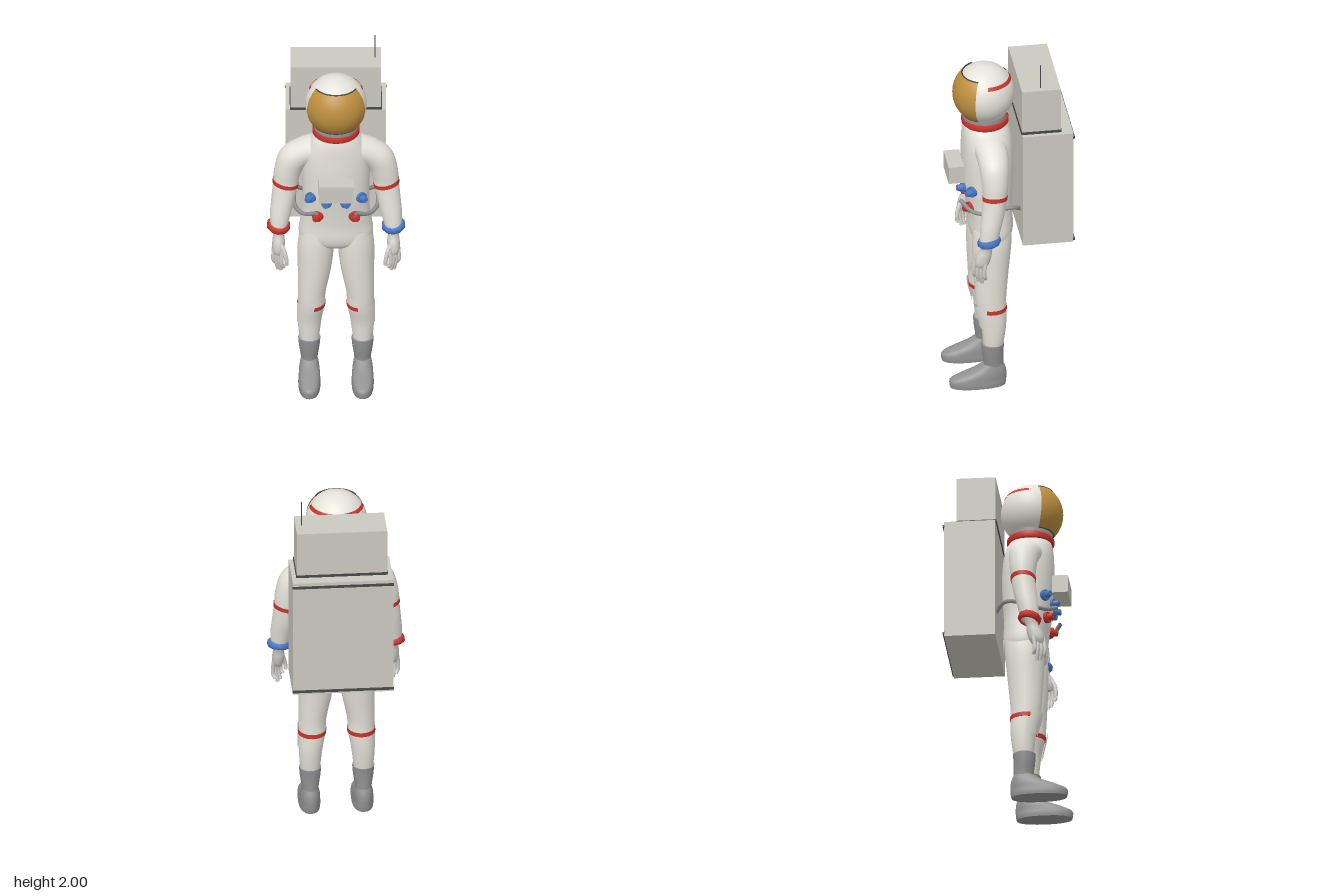
import * as THREE from 'three';

const mat = (name, color) => {
  const m = new THREE.MeshStandardMaterial({ color, side: THREE.DoubleSide });
  m.name = name;
  return m;
};

// Smooth value between cross-sections; each is [x, y, z, rx, rz, tiltDegrees]
function section(list, u) {
  const i = Math.min(Math.floor(u), list.length - 2), t = u - i;
  const at = k => list[Math.max(0, Math.min(list.length - 1, k))];
  return list[i].map((p1, k) => {
    const p0 = at(i - 1)[k], p2 = at(i + 1)[k], p3 = at(i + 2)[k];
    const v0 = (p2 - p0) / 2, v1 = (p3 - p1) / 2;
    return (2 * p1 - 2 * p2 + v0 + v1) * t ** 3 + (-3 * p1 + 3 * p2 - 2 * v0 - v1) * t * t + v0 * t + p1;
  });
}

// Skin over cross-sections listed from top to bottom; side = -1 mirrors it
function loft(list, { side = 1, from = 0, to = list.length - 1, grow = 0, n = 28, power = 1, arc = null, steps = 4 } = {}) {
  const pos = [], idx = [];
  const rows = Math.max(2, Math.ceil((to - from) * steps));
  const cols = arc ? n + 1 : n;
  const [a0, a1] = arc || [0, Math.PI * 2];
  const bend = v => Math.sign(v) * Math.abs(v) ** power;
  for (let r = 0; r <= rows; r++) {
    const [x, y, z, rx, rz, tilt = 0] = section(list, from + (to - from) * r / rows);
    const t = tilt * side * Math.PI / 180;
    for (let j = 0; j < cols; j++) {
      const a = a0 + (a1 - a0) * j / n;
      const px = (rx + grow) * bend(Math.cos(a)), pz = (rz + grow) * bend(Math.sin(a));
      pos.push(side * x + px * Math.cos(t), y + px * Math.sin(t), z + pz);
    }
  }
  for (let r = 0; r < rows; r++) for (let j = 0; j < n; j++) {
    const k = arc ? j + 1 : (j + 1) % n;
    const a = r * cols + j, b = r * cols + k, c = a + cols, d = b + cols;
    idx.push(a, b, c, b, d, c);
  }
  // flat end caps
  if (!arc) for (const r of [0, rows]) {
    const base = pos.length / 3, c = [0, 0, 0];
    for (let j = 0; j < n; j++) for (let k = 0; k < 3; k++) {
      const v = pos[(r * cols + j) * 3 + k];
      pos.push(v);
      c[k] += v / n;
    }
    pos.push(...c);
    for (let j = 0; j < n; j++) {
      const p = base + j, q = base + (j + 1) % n;
      idx.push(base + n, r ? p : q, r ? q : p);
    }
  }
  const g = new THREE.BufferGeometry();
  g.setAttribute('position', new THREE.Float32BufferAttribute(pos, 3));
  g.setIndex(idx);
  g.computeVertexNormals();
  return g;
}

const torso = [
  [0, 1.61, 0.115, 0.10, 0.10], [0, 1.565, 0.115, 0.11, 0.112], [0, 1.52, 0.11, 0.14, 0.127],
  [0, 1.45, 0.105, 0.172, 0.136], [0, 1.35, 0.103, 0.182, 0.14], [0, 1.2, 0.102, 0.18, 0.136],
  [0, 1.1, 0.098, 0.18, 0.125], [0, 1.0, 0.09, 0.192, 0.12], [0, 0.93, 0.088, 0.2, 0.12],
  [0, 0.88, 0.09, 0.185, 0.105], [0, 0.85, 0.095, 0.12, 0.07]];
const arm = [
  [0.06, 1.47, 0.112, 0.08, 0.095, 65], [0.17, 1.43, 0.1, 0.078, 0.085, 55], [0.235, 1.38, 0.1, 0.08, 0.078, 38],
  [0.262, 1.3, 0.1, 0.073, 0.071, 20], [0.27, 1.235, 0.102, 0.068, 0.065, 12], [0.285, 1.14, 0.115, 0.062, 0.062, 8],
  [0.298, 1.06, 0.13, 0.056, 0.056, 5], [0.308, 0.98, 0.142, 0.045, 0.05, 4]];
const leg = [
  [0.1, 0.95, 0.09, 0.09, 0.105], [0.107, 0.85, 0.095, 0.098, 0.106], [0.115, 0.7, 0.1, 0.09, 0.096],
  [0.13, 0.55, 0.103, 0.075, 0.084], [0.132, 0.47, 0.1, 0.073, 0.08], [0.14, 0.38, 0.09, 0.065, 0.069],
  [0.143, 0.3, 0.09, 0.058, 0.06], [0.143, 0.2, 0.093, 0.046, 0.048]];
const shaft = [
  [0.143, 0.255, 0.095, 0.06, 0.062], [0.143, 0.2, 0.095, 0.055, 0.058],
  [0.143, 0.13, 0.09, 0.045, 0.054], [0.143, 0.08, 0.09, 0.045, 0.056]];
const foot = [
  [0.143, 0.13, 0.092, 0.042, 0.055], [0.143, 0.1, 0.11, 0.05, 0.085], [0.143, 0.07, 0.145, 0.056, 0.125],
  [0.143, 0.045, 0.172, 0.058, 0.152], [0.143, 0.02, 0.176, 0.06, 0.154], [0.143, 0, 0.176, 0.058, 0.15]];
const hand = [
  [0.308, 0.985, 0.145, 0.036, 0.04, 0], [0.308, 0.94, 0.155, 0.03, 0.034, 0],
  [0.308, 0.9, 0.168, 0.034, 0.042, 0], [0.31, 0.86, 0.178, 0.032, 0.04, 0], [0.31, 0.835, 0.182, 0.022, 0.03, 0]];

export function createModel() {
  const suit = mat('suit white', 0xe4e2d9), pack = mat('pack grey', 0xcbc9c0), glove = mat('glove grey', 0xcfcec8);
  const grey = mat('boot grey', 0x929292), dark = mat('dark trim', 0x45494a), gold = mat('visor gold', 0xbd8f3f);
  const red = mat('red', 0xcb352c), blue = mat('blue', 0x4a7ac6);
  const model = new THREE.Group();
  const add = (name, geo, material, x = 0, y = 0, z = 0) => {
    const m = new THREE.Mesh(geo, material);
    m.name = name;
    m.position.set(x, y, z);
    model.add(m);
    return m;
  };
  const box = (name, material, w, h, d, x, y, z) => add(name, new THREE.BoxGeometry(w, h, d), material, x, y, z);
  const tube = (name, material, pts, r, sides = 8) => add(name, new THREE.TubeGeometry(
    new THREE.CatmullRomCurve3(pts.map(p => new THREE.Vector3(...p))), 16, r, sides), material);

  add('torso', loft(torso, { n: 40, power: 0.9 }), suit);

  // Helmet with visor, trim and rear stripe
  const H = [0, 1.74, 0.12];
  add('helmet', new THREE.SphereGeometry(0.165, 48, 32), suit, ...H);
  const t0 = Math.acos(0.12 / 0.17), half = 1.15;
  add('visor', new THREE.SphereGeometry(0.17, 40, 24, Math.PI / 2 - half, half * 2, t0, Math.PI - 2 * t0), gold, ...H);
  for (const s of [1, -1]) {
    const trim = add('visorTrim', new THREE.TorusGeometry(0.118, 0.004, 6, 32, half * 2), dark, 0, H[1] + s * 0.121, H[2]);
    trim.geometry.rotateZ(Math.PI / 2 - half).rotateX(Math.PI / 2);
  }
  const b0 = Math.acos(0.1 / 0.167), b1 = Math.acos(0.082 / 0.167);
  add('helmetStripe', new THREE.SphereGeometry(0.1675, 40, 2, Math.PI, Math.PI, b0, b1 - b0), red, ...H);
  add('neckCollar', new THREE.CylinderGeometry(0.117, 0.119, 0.03, 40), grey, 0, 1.603, 0.118);
  const ring = [[0.1, -0.02], [0.12, -0.02], [0.127, -0.012], [0.127, 0.012], [0.12, 0.02], [0.1, 0.02]];
  add('neckRing', new THREE.LatheGeometry(ring.map(p => new THREE.Vector2(...p)), 40), red, 0, 1.575, 0.115);

  // Life support pack
  box('backpack', pack, 0.54, 0.675, 0.275, 0, 1.2575, -0.1875);
  box('upperPack', pack, 0.486, 0.25, 0.21, 0, 1.735, -0.155);
  box('upperPackSeal', dark, 0.494, 0.014, 0.218, 0, 1.603, -0.155);
  for (const y of [1.57, 0.938]) box('packStrip', dark, 0.545, 0.013, 0.01, 0, y, -0.327);
  add('antenna', new THREE.CylinderGeometry(0.003, 0.003, 0.14, 8), dark, 0.21, 1.93, -0.155);

  box('chestBox', pack, 0.186, 0.1, 0.085, 0, 1.285, 0.2825);

  for (const s of [1, -1]) {
    // Arm, bands and hand
    add('arm', loft(arm, { side: s }), suit);
    add('armBand', loft(arm, { side: s, from: 3.87, to: 4.14, grow: 0.003 }), red);
    const cuff = [[0.045, -0.018], [0.055, -0.021], [0.064, -0.01], [0.064, 0.01], [0.055, 0.021], [0.045, 0.018]];
    const w = add('wristRing', new THREE.LatheGeometry(cuff.map(p => new THREE.Vector2(...p)), 10),
      s > 0 ? blue : red, s * 0.308, 0.985, 0.14);
    w.rotation.set(0.2, 0, s * 0.12);
    add('hand', loft(hand, { side: s, n: 16 }), glove);
    for (let i = 0; i < 4; i++) {
      const x = 0.288 + i * 0.015, z = 0.212 - i * 0.017, low = [0.765, 0.74, 0.735, 0.765][i];
      tube('finger', glove, [[s * x, 0.87, z], [s * (x + 0.004), 0.82, z + 0.008],
        [s * (x + 0.003), 0.785, z + 0.008], [s * (x - 0.008), low, z]], 0.0105);
    }
    tube('thumb', glove, [[s * 0.3, 0.905, 0.19], [s * 0.277, 0.86, 0.215], [s * 0.266, 0.81, 0.225], [s * 0.265, 0.785, 0.223]], 0.011);

    // Leg, band, knee pad and boot
    add('leg', loft(leg, { side: s }), suit);
    add('legBand', loft(leg, { side: s, from: 3.84, to: 4.12, grow: 0.003 }), red);
    const arc = s > 0 ? [0.4, 1.75] : [Math.PI - 1.75, Math.PI - 0.4];
    add('kneePad', loft(leg, { side: s, from: 3.6, to: 5.2, grow: 0.01, n: 12, arc }), suit);
    add('bootShaft', loft(shaft, { side: s, n: 14 }), grey);
    add('boot', loft(foot, { side: s, n: 28, power: 0.85 }), grey);

    // Hose couplings and hoses
    const couplings = [['blue', blue, 0.135, 1.2, 0.205, 0.6], ['blue', blue, 0.05, 1.185, 0.235, 0.2], ['red', red, 0.098, 1.085, 0.212, 0.4]];
    for (const [name, material, x, y, z, turn] of couplings) {
      const base = new THREE.CylinderGeometry(0.03, 0.03, 0.024, 12).rotateX(Math.PI / 2);
      add(name + 'Coupling', base, material, s * x, y, z).rotation.y = s * turn;
      const knob = new THREE.CylinderGeometry(0.016, 0.022, 0.04, 10).rotateX(Math.PI / 2);
      const k = add(name + 'Knob', knob, material, s * (x + 0.02 * Math.sin(turn)), y, z + 0.02 * Math.cos(turn));
      k.rotation.y = s * turn;
    }
    tube('hose', grey, [[s * 0.165, 1.09, -0.06], [s * 0.215, 1.13, -0.01], [s * 0.224, 1.13, 0.05],
      [s * 0.222, 1.105, 0.13], [s * 0.175, 1.1, 0.21], [s * 0.105, 1.137, 0.265]], 0.012, 6);
  }
  return model;
}
